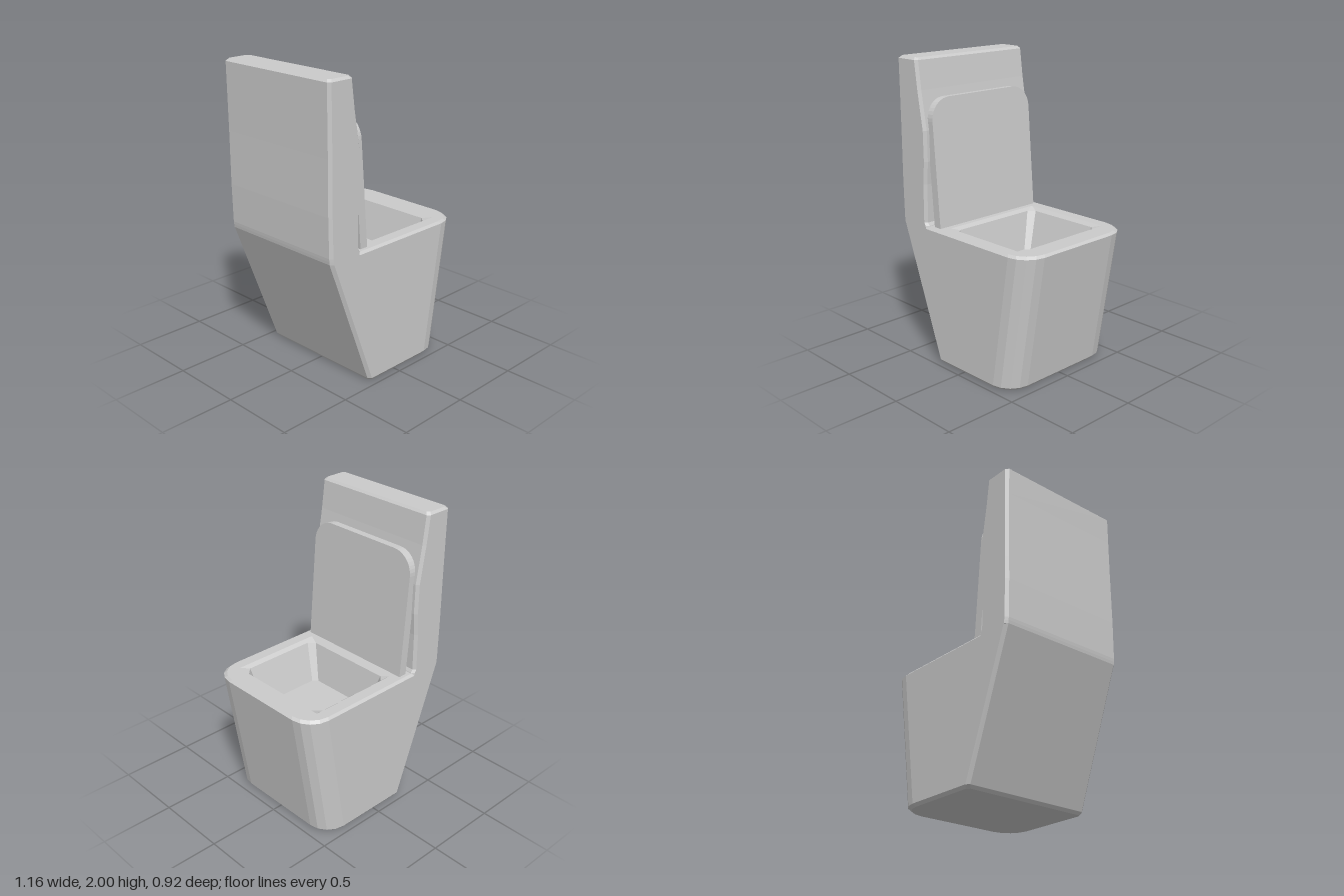
import * as THREE from 'three';

const material = new THREE.MeshStandardMaterial({ color: 0xcccccc, flatShading: true });

// Horizontal outline, counter-clockwise from above as [x, -z]; back and front corners are cut or rounded.
function outline(x0, x1, halfZ, back, front, segments = 1) {
  const points = [[x0, halfZ - back], [x0, -halfZ + back], [x0 + back, -halfZ]];
  for (const side of [-1, 1]) {
    for (let i = 0; i <= segments; i++) {
      const a = (side < 0 ? -1 + i / segments : i / segments) * Math.PI / 2;
      points.push([x1 - front + front * Math.cos(a), side * (halfZ - front) + front * Math.sin(a)]);
    }
  }
  points.push([x0 + back, halfZ]);
  return points;
}

// Skin through levels of { y, loop }, closed by flat caps where asked.
function loft(levels, capStart, capEnd) {
  const n = levels[0].loop.length;
  const position = [];
  const add = (k, i) => {
    const [x, v] = levels[k].loop[i % n];
    position.push(x, levels[k].y, -v);
  };
  for (let k = 0; k < levels.length - 1; k++) {
    for (let i = 0; i < n; i++) {
      add(k, i); add(k, i + 1); add(k + 1, i + 1);
      add(k, i); add(k + 1, i + 1); add(k + 1, i);
    }
  }
  const last = levels.length - 1;
  for (let i = 1; i < n - 1; i++) {
    if (capStart) { add(0, 0); add(0, i + 1); add(0, i); }
    if (capEnd) { add(last, 0); add(last, i); add(last, i + 1); }
  }
  const geometry = new THREE.BufferGeometry();
  geometry.setAttribute('position', new THREE.Float32BufferAttribute(position, 3));
  geometry.computeVertexNormals();
  return geometry;
}

const toShape = (Type, loop) => new Type(loop.map(([x, v]) => new THREE.Vector2(x, v)));

export function createModel() {
  const model = new THREE.Group();
  model.name = 'toilet';
  const part = (name, geometry) => {
    const mesh = new THREE.Mesh(geometry, material);
    mesh.name = name;
    model.add(mesh);
    return mesh;
  };

  // Tapered pedestal with rounded front corners and bevelled ends
  const bodyLevels = [
    [0, -0.225, 0.425, 0.445],
    [0.02, -0.24, 0.443, 0.46],
    [0.905, -0.57, 0.58, 0.46],
    [0.92, -0.56, 0.565, 0.445],
  ].map(([y, x0, x1, z]) => ({ y, loop: outline(x0, x1, z, 0.02, 0.155, 4) }));
  part('pedestal', loft(bodyLevels, true, false));

  // Basin sunk into the pedestal
  const basinLevels = [
    { y: 0.92, loop: outline(-0.2, 0.44, 0.372, 0.005, 0.005) },
    { y: 0.9, loop: outline(-0.18, 0.42, 0.348, 0.04, 0.05) },
    { y: 0.65, loop: outline(-0.13, 0.35, 0.26, 0.03, 0.02) },
  ];
  part('basin', loft(basinLevels, false, true));

  // Flat rim between the pedestal edge and the basin
  const rimShape = toShape(THREE.Shape, bodyLevels[3].loop);
  rimShape.holes.push(toShape(THREE.Path, basinLevels[0].loop));
  part('rim', new THREE.ShapeGeometry(rimShape).rotateX(-Math.PI / 2).translate(0, 0.92, 0));

  // Tank with a gently bulging front, given as [y, back x, front x, half width]
  const tankLevels = [
    [0.905, -0.57, -0.32, 0.46],
    [0.925, -0.573, -0.325, 0.46],
    [0.945, -0.575, -0.337, 0.46],
    [1.2, -0.58, -0.335, 0.46],
    [1.35, -0.58, -0.323, 0.46],
    [1.55, -0.58, -0.326, 0.46],
    [1.8, -0.582, -0.368, 0.46],
    [1.985, -0.584, -0.392, 0.46],
    [2, -0.569, -0.405, 0.445],
  ].map(([y, x0, x1, z]) => ({ y, loop: outline(x0, x1, z, 0.018, 0.018) }));
  part('tank', loft(tankLevels, true, true));

  // Raised lid leaning against the tank
  const w = 0.423, h = 0.835, r = 0.145;
  const lidShape = new THREE.Shape();
  lidShape.moveTo(-w, -0.01);
  lidShape.lineTo(w, -0.01);
  lidShape.lineTo(w, h - r);
  lidShape.absarc(w - r, h - r, r, 0, Math.PI / 2);
  lidShape.lineTo(-w + r, h);
  lidShape.absarc(-w + r, h - r, r, Math.PI / 2, Math.PI);
  lidShape.closePath();
  const lidGeometry = new THREE.ExtrudeGeometry(lidShape, { depth: 0.057, bevelEnabled: false, curveSegments: 5 });
  const lid = part('lid', lidGeometry.rotateY(Math.PI / 2));
  lid.rotation.z = 0.078;
  lid.position.set(-0.293, 0.915, 0);

  return model;
}
